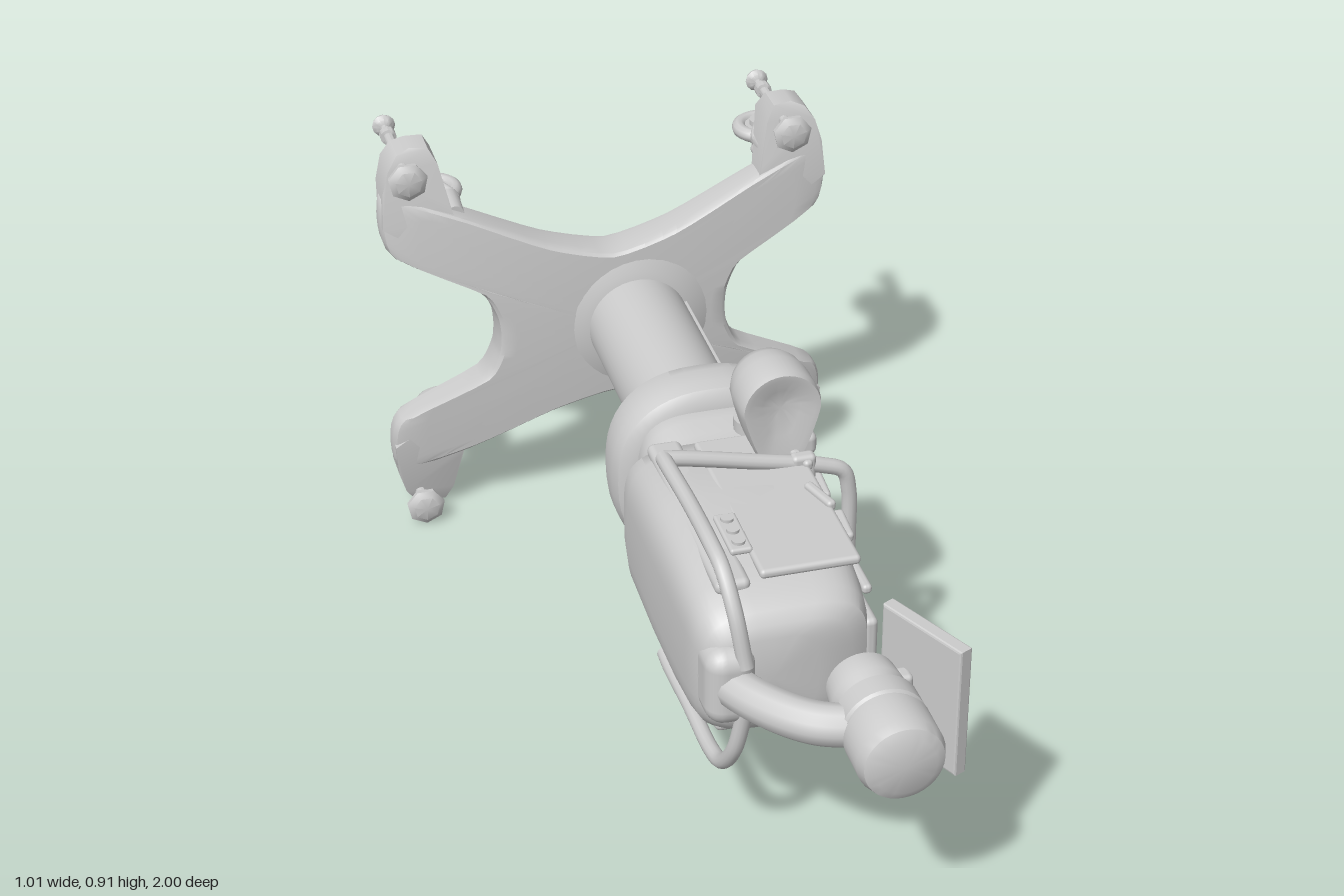
import * as THREE from 'three';
import { toCreasedNormals } from 'three/addons/utils/BufferGeometryUtils.js';
import { RoundedBoxGeometry } from 'three/addons/geometries/RoundedBoxGeometry.js';
import { ConvexGeometry } from 'three/addons/geometries/ConvexGeometry.js';

const V = (x, y, z) => new THREE.Vector3(x, y, z);
const mat = new THREE.MeshStandardMaterial({ color: 0xcccccc, side: THREE.DoubleSide });

// Skin a closed body over rings of points ordered along +z
function loft(rings) {
  const n = rings[0].length, pos = [], idx = [];
  rings.forEach(r => r.forEach(p => pos.push(p.x, p.y, p.z)));
  for (let k = 0; k < rings.length - 1; k++) for (let i = 0; i < n; i++) {
    const a = k * n + i, b = k * n + (i + 1) % n;
    idx.push(a, b, b + n, a, b + n, a + n);
  }
  [rings[0], rings.at(-1)].forEach((r, end) => {
    const c = r.reduce((s, p) => s.add(p), V(0, 0, 0)).divideScalar(n);
    const ci = pos.length / 3, o = end ? (rings.length - 1) * n : 0;
    pos.push(c.x, c.y, c.z);
    for (let i = 0; i < n; i++) {
      const a = o + i, b = o + (i + 1) % n;
      if (end) idx.push(ci, a, b); else idx.push(ci, b, a);
    }
  });
  const g = new THREE.BufferGeometry();
  g.setAttribute('position', new THREE.Float32BufferAttribute(pos, 3));
  g.setIndex(idx);
  return toCreasedNormals(g, 0.6);
}

// Superellipse section: z, back x, front x, half width, exponent
function section([z, x0, x1, hy, e = 4], n = 48) {
  return Array.from({ length: n }, (_, i) => {
    const a = i / n * Math.PI * 2, c = Math.cos(a), s = Math.sin(a);
    const f = v => Math.sign(v) * Math.abs(v) ** (2 / e);
    return V((x0 + x1) / 2 + f(c) * (x1 - x0) / 2, f(s) * hy, z);
  });
}

// Paddle ring: a circle drawn out into a blunt tail towards the torso
function paddleRing(r, z, side, n = 40) {
  return Array.from({ length: n }, (_, i) => {
    const a = i / n * Math.PI * 2, c = Math.cos(a), s = Math.sin(a), tail = Math.max(0, -side * s);
    return V(Math.sign(c) * Math.abs(c) ** (1 - 0.4 * tail) * r * (1 - 0.15 * tail), s * r * (1 + 0.6 * tail), z);
  });
}

// Turned part about a z-parallel axis; profile is [radius, z] with z rising
function turned(profile, seg = 32) {
  const g = new THREE.LatheGeometry(profile.map(p => new THREE.Vector2(...p)), seg);
  return toCreasedNormals(g.rotateX(Math.PI / 2), 0.6);
}

const tube = (pts, r, seg = 48) =>
  new THREE.TubeGeometry(new THREE.CatmullRomCurve3(pts.map(p => V(...p))), seg, r, 12);
const box = (w, h, d, r = 0.01) => new RoundedBoxGeometry(w, h, d, 3, r);

export function createModel() {
  const root = new THREE.Group();
  root.name = 'mobileRobot';
  root.position.y = 0.457;
  const add = (name, geo, x = 0, y = 0, z = 0, parent = root) => {
    const m = new THREE.Mesh(geo, mat);
    m.name = name;
    m.position.set(x, y, z);
    parent.add(m);
    return m;
  };

  // Four-legged base: one quarter outline mirrored, arched to the feet, hollow beneath
  const q = [[0.262, 0], [0.268, 0.05], [0.305, 0.115], [0.485, 0.21], [0.506, 0.28], [0.49, 0.35], [0.34, 0.3], [0.15, 0.215]];
  const half = [...q, [0, 0.178], ...q.slice(1).reverse().map(([x, y]) => [-x, y])];
  const full = [...half, [-0.262, 0], ...half.slice(1).reverse().map(([x, y]) => [x, -y])];
  const outline = new THREE.CatmullRomCurve3(full.map(([x, y]) => V(x, y, 0)), true, 'catmullrom', 0.3).getPoints(128).slice(0, -1);
  const top = r => -0.695 - 0.2 * r * r;
  const bottom = r => -0.79 - 0.09 * r * r;
  const ring = (t, w) => outline.map(p => {
    const r = Math.hypot(p.x, p.y) * t;
    return V(p.x * t, p.y * t, bottom(r) + (top(r) - bottom(r)) * w);
  });
  const ts = [0.1, 0.3, 0.5, 0.7, 0.85, 0.95];
  add('base', loft([...ts.map(t => ring(t, 0.85 * (1 - t ** 3))), ring(0.985, 0), ring(1, 0.15), ring(1, 0.7), ring(0.985, 0.93),
    ...ts.slice().reverse().map(t => ring(t, 1))]));
  add('baseUnderCap', turned([[0, -0.735], [0.06, -0.733], [0.1, -0.728], [0.115, -0.71]]), 0.05);
  add('columnFlange', turned([[0.17, -0.715], [0.165, -0.705], [0.13, -0.69], [0.11, -0.685]]), 0.05);

  // Feet, levelling screws and castors
  for (const sx of [1, -1]) for (const sy of [1, -1]) {
    const foot = [];
    for (const [x, y, z0, z1] of [[0.503, 0.28, -0.755, -0.81], [0.497, 0.36, -0.768, -0.85], [0.482, 0.41, -0.772, -0.865],
      [0.46, 0.442, -0.782, -0.86], [0.43, 0.454, -0.79, -0.85], [0.39, 0.45, -0.785, -0.855], [0.372, 0.415, -0.775, -0.87],
      [0.355, 0.32, -0.752, -0.82], [0.345, 0.29, -0.745, -0.805], [0.43, 0.23, -0.75, -0.8]])
      foot.push(V(sx * x, sy * y, z0), V(sx * x, sy * y, z1));
    add('foot', toCreasedNormals(new ConvexGeometry(foot), 0.6));

    const bx = sx > 0 ? 0.41 : -0.45, by = sy * 0.415;
    add('levellingScrew', turned([[0, -1], [0.022, -0.998], [0.026, -0.988], [0.018, -0.978], [0.009, -0.974],
      [0.009, -0.95], [0.018, -0.948], [0.018, -0.928], [0.012, -0.926], [0.012, -0.73]], 12), bx, by);
    add('screwKnob', turned([[0, -0.75], [0.02, -0.75], [0.022, -0.722], [0.042, -0.718], [0.044, -0.705], [0.03, -0.695], [0, -0.692]], 7), bx, by);

    const castor = new THREE.Group();
    castor.name = 'castor';
    castor.position.set(sx > 0 ? 0.4 : -0.36, sy * (sx > 0 ? 0.333 : 0.278), -0.918);
    root.add(castor);
    add('castorTyre', new THREE.TorusGeometry(0.05, 0.016, 10, 28).rotateX(Math.PI / 2), 0, 0, 0, castor);
    add('castorHub', new THREE.CylinderGeometry(0.026, 0.026, 0.04, 20), 0, 0, 0, castor);
    add('castorDisc', new THREE.CylinderGeometry(0.042, 0.042, 0.016, 20), 0, 0, 0, castor);
    for (const s of [1, -1]) add('castorFork', tube([[0, s * 0.021, 0], [-sx * 0.02, s * 0.021, 0.04], [-sx * 0.035, s * 0.015, 0.08], [-sx * 0.02, 0, 0.12]], 0.011, 12), 0, 0, 0, castor);
    add('castorMount', new THREE.CylinderGeometry(0.022, 0.026, 0.08, 16).rotateX(Math.PI / 2), -sx * 0.02, sy * 0.01, 0.11, castor);
  }

  // Lifting column with slim guide rails on its front
  add('column', turned([[0.113, -0.72], [0.113, -0.1]], 40), 0.05);
  for (const s of [1, -1]) add('columnRail', box(0.012, 0.012, 0.55, 0.003), 0.158, s * 0.035, -0.44);

  // Collar clamped around the column
  add('collar', loft([[-0.176, -0.1, 0.19, 0.15], [-0.172, -0.14, 0.225, 0.183], [-0.155, -0.16, 0.243, 0.2], [-0.125, -0.165, 0.248, 0.206],
    [-0.08, -0.165, 0.248, 0.206], [-0.055, -0.158, 0.243, 0.2], [-0.04, -0.14, 0.225, 0.183], [-0.034, -0.1, 0.2, 0.15]].map(s => section([...s, 2.4]))));
  for (const s of [1, -1]) add('collarLobe', box(0.06, 0.15, 0.135, 0.028), 0.2, s * 0.09, -0.105);

  // Waist between collar and torso
  add('waist', loft([[-0.05, -0.12, 0.2, 0.16], [0, -0.125, 0.2, 0.165], [0.03, -0.12, 0.19, 0.15], [0.1, -0.13, 0.18, 0.15]].map(s => section([...s, 3.5]))));
  for (const s of [1, -1]) {
    add('waistBracket', box(0.09, 0.05, 0.12, 0.015), 0.185, s * 0.115, 0.02);
    add('waistJoint', new THREE.CylinderGeometry(0.045, 0.045, 0.05, 20), 0.11, s * 0.15, 0.03);
  }

  // Torso shell, tapering to the shoulders of the neck
  add('torso', loft([[0.035, -0.15, 0.15, 0.12], [0.06, -0.175, 0.175, 0.15], [0.12, -0.184, 0.185, 0.172], [0.3, -0.186, 0.185, 0.183],
    [0.45, -0.186, 0.18, 0.18], [0.56, -0.184, 0.172, 0.166], [0.61, -0.18, 0.165, 0.152], [0.64, -0.17, 0.155, 0.135],
    [0.66, -0.155, 0.12, 0.115], [0.67, -0.13, 0.05, 0.09]].map(s => section([...s, 4]))));
  add('chestPanel', box(0.03, 0.1, 0.46, 0.012), 0.174, 0, 0.38);
  add('hipBulge', box(0.07, 0.09, 0.13, 0.03), 0.17, 0, 0.13);

  for (const s of [1, -1]) {
    // Side panels, control buttons and latches
    add('sidePanel', box(0.2, 0.02, 0.48, 0.009), 0.06, s * 0.172, 0.34);
    add('sidePad', box(0.07, 0.03, 0.52, 0.014), -0.095, s * 0.16, 0.33);
    add('chestRib', box(0.02, 0.02, 0.44, 0.008), 0.174, s * 0.1, 0.36);
    add('buttonPlate', box(0.045, 0.014, 0.13, 0.006), -0.055, s * 0.181, 0.44);
    for (let i = 0; i < 3; i++) add('button', new THREE.CylinderGeometry(0.013, 0.013, 0.02, 14), -0.055, s * 0.184, 0.4 + i * 0.04);
    for (const z of [0.21, 0.36]) {
      add('sideLatch', box(0.02, 0.022, 0.09, 0.008), 0.145, s * 0.182, z).rotation.y = 0.3;
      add('frontLatch', box(0.025, 0.022, 0.08, 0.008), 0.18, s * 0.132, z + 0.04).rotation.x = s * 0.15;
    }

    // Side paddle with a gently hollowed face
    add('paddle', loft([[0.03, 0.048], [0.05, 0.055], [0.068, 0.07], [0.078, 0.095], [0.083, 0.13], [0.083, 0.19], [0.079, 0.204],
      [0.068, 0.203], [0.04, 0.194], [0.015, 0.188]].map(([r, z]) => paddleRing(r, z, s))), 0.115, s * 0.289, 0);

    // Long handrail
    add('handrail', tube([[-0.135, s * 0.235, 0.225], [-0.135, s * 0.238, 0.26], [-0.13, s * 0.241, 0.4], [-0.128, s * 0.241, 0.55],
      [-0.124, s * 0.226, 0.61], [-0.115, s * 0.16, 0.665], [-0.1, s * 0.05, 0.69]], 0.016));
    add('railFoot', box(0.05, 0.06, 0.03, 0.01), 0.15, s * 0.17, 0.23);
  }

  // Front loop joining both handrails
  const side = [[-0.135, 0.235], [-0.1, 0.23], [0.05, 0.197], [0.19, 0.165], [0.235, 0.145], [0.248, 0.1], [0.25, 0]];
  add('frontLoop', tube([...side, ...side.slice(0, -1).reverse().map(([x, y]) => [x, -y])].map(([x, y]) => [x, y, 0.228]), 0.016, 96));

  // Neck sweeping up from the back to the head, broad at its root
  add('neckBase', box(0.1, 0.17, 0.14, 0.04), -0.125, 0, 0.63);
  add('neck', tube([[-0.14, 0, 0.57], [-0.128, 0, 0.65], [-0.085, 0, 0.74], [-0.005, 0, 0.825], [0.09, 0, 0.86]], 0.042));

  // Head: stacked drum with a domed cap
  add('head', turned([[0, 0.715], [0.055, 0.718], [0.07, 0.73], [0.075, 0.785], [0.068, 0.8], [0.068, 0.815], [0.084, 0.822], [0.085, 0.87],
    [0.08, 0.875], [0.08, 0.882], [0.086, 0.888], [0.086, 0.965], [0.078, 0.987], [0.06, 0.997], [0, 1]], 36), 0.115);
  add('screenArm', box(0.03, 0.06, 0.04, 0.01), 0.19, 0, 0.755);

  // Tilted screen: open frame with a shallow pyramid recess
  const screen = new THREE.Group();
  screen.name = 'screen';
  screen.position.set(0.225, 0, 0.775);
  screen.rotation.y = 0.44;
  root.add(screen);
  const rect = (C, w, h) => new C([[-w, -h], [w, -h], [w, h], [-w, h]].map(p => new THREE.Vector2(...p)));
  const frame = rect(THREE.Shape, 0.1, 0.138);
  frame.holes.push(rect(THREE.Path, 0.088, 0.126));
  const frameGeo = new THREE.ExtrudeGeometry(frame, { depth: 0.022, bevelSize: 0.005, bevelThickness: 0.004, bevelSegments: 2 });
  add('screenFrame', frameGeo.translate(0, 0, -0.011).rotateY(Math.PI / 2), 0, 0, 0, screen);
  const recess = new THREE.ConeGeometry(0.088 * Math.SQRT2, 0.018, 4, 1, true).rotateY(Math.PI / 4).scale(0.126 / 0.088, 1, 1);
  add('screenRecess', toCreasedNormals(recess.rotateZ(Math.PI / 2), 0.05), 0.001, 0, 0, screen);
  add('screenBack', box(0.006, 0.265, 0.19, 0.002), -0.012, 0, 0, screen);
  return root;
}
